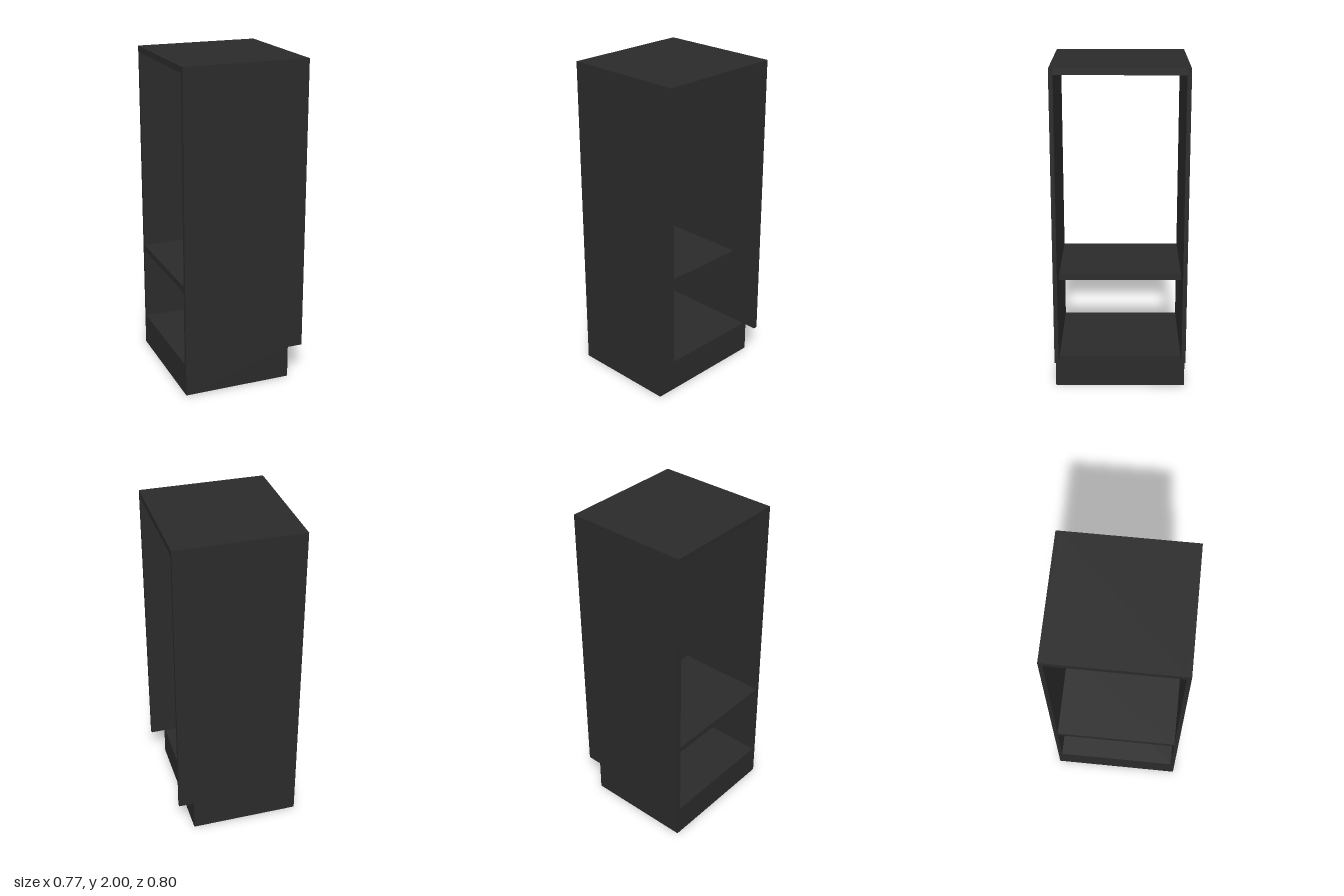
import * as THREE from 'three';

const HALF_W = 0.385, HALF_D = 0.4, PANEL = 0.025;
const BASE_H = 0.2, BASE_FRONT = 0.29, BOARD = 0.037;

export function createModel() {
  const group = new THREE.Group();
  const material = new THREE.MeshStandardMaterial({ color: 0x2a2a2a });

  // Horizontal board or block fitted between the two side panels
  function addBoard(name, x0, x1, y0, y1) {
    const depth = 2 * (HALF_D - PANEL);
    const mesh = new THREE.Mesh(new THREE.BoxGeometry(x1 - x0, y1 - y0, depth), material);
    mesh.position.set((x0 + x1) / 2, (y0 + y1) / 2, 0);
    mesh.name = name;
    group.add(mesh);
  }

  // Tall side panels with a toe-kick notch at the bottom
  const outline = new THREE.Shape([
    [-HALF_W, 0], [BASE_FRONT, 0], [BASE_FRONT, BASE_H],
    [HALF_W, BASE_H], [HALF_W, 2], [-HALF_W, 2],
  ].map(([x, y]) => new THREE.Vector2(x, y)));
  const panelGeometry = new THREE.ExtrudeGeometry(outline, { depth: PANEL, bevelEnabled: false });
  for (const [name, z] of [['frontPanel', HALF_D - PANEL], ['backPanel', -HALF_D]]) {
    const panel = new THREE.Mesh(panelGeometry, material);
    panel.position.z = z;
    panel.name = name;
    group.add(panel);
  }

  // Plinth, recessed shelf and top
  addBoard('base', -HALF_W, BASE_FRONT, 0, BASE_H);
  addBoard('shelf', -HALF_W, 0.19, 0.703 - BOARD, 0.703);
  addBoard('top', -HALF_W, HALF_W, 2 - BOARD, 2);

  return group;
}
